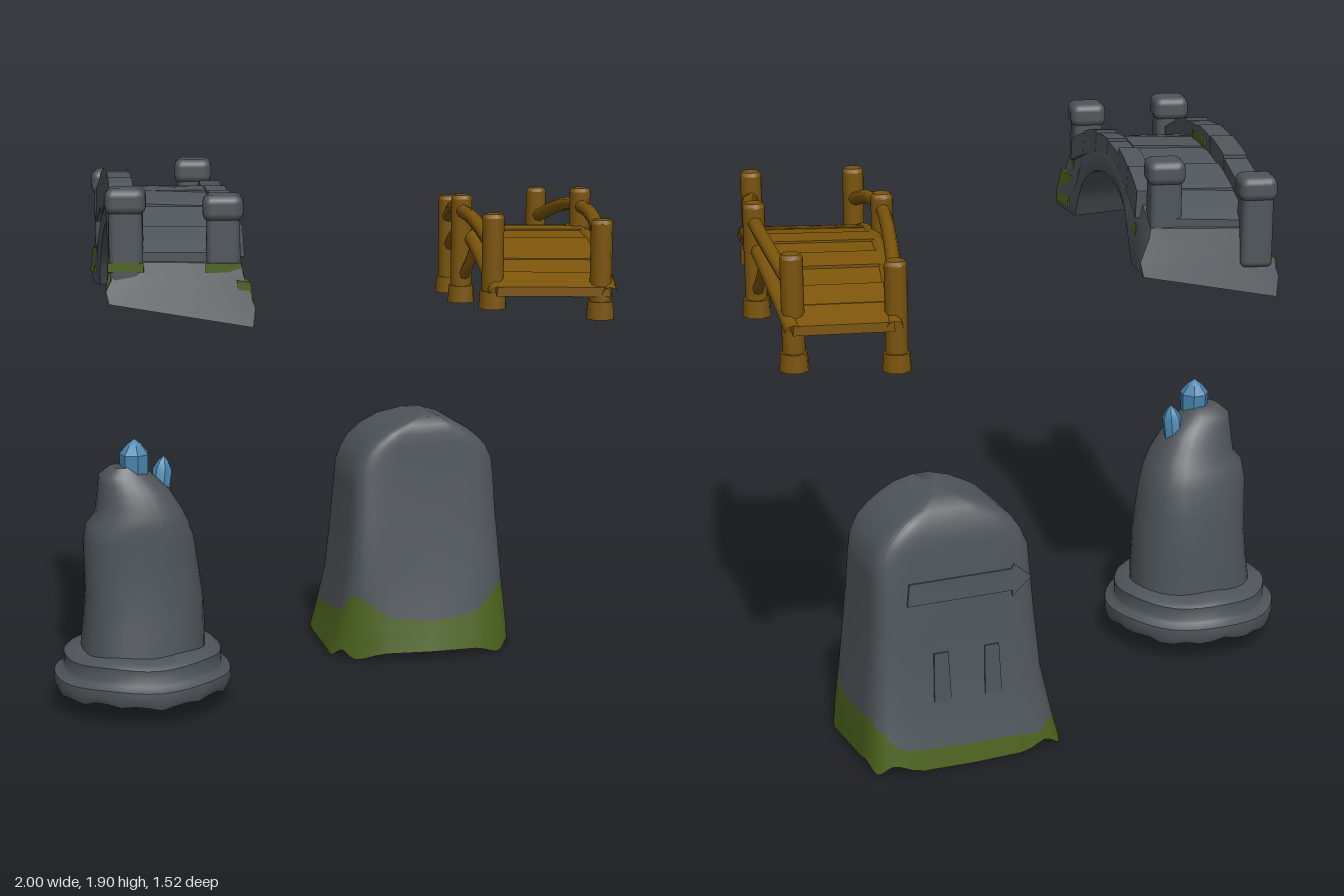
import * as THREE from 'three';
import { toCreasedNormals } from 'three/addons/utils/BufferGeometryUtils.js';
import { RoundedBoxGeometry } from 'three/addons/geometries/RoundedBoxGeometry.js';

const mat = (name, color) => { const m = new THREE.MeshStandardMaterial({ color }); m.name = name; return m; };
const V = (x, y, z) => new THREE.Vector3(x, y, z);
const lerp = THREE.MathUtils.lerp;

export function createModel() {
  const stone = mat('stone', 0x4e5459), moss = mat('moss', 0x4a611c);
  const wood = mat('wood', 0x7b5409), crystal = mat('crystal', 0x4a86b0);
  const root = new THREE.Group();
  const group = (name) => { const g = new THREE.Group(); g.name = name; root.add(g); return g; };
  const add = (parent, name, geo, material, x = 0, y = 0, z = 0) => {
    const m = new THREE.Mesh(geo, material);
    m.name = name;
    m.position.set(x, y, z);
    parent.add(m);
    return m;
  };

  // Skin a list of closed rings, with optional end caps
  function loft(rings, capStart = true, capEnd = true, crease = 0.7) {
    const n = rings[0].length, pts = rings.flat(), idx = [];
    for (let i = 0; i < rings.length - 1; i++) for (let j = 0; j < n; j++) {
      const a = i * n + j, b = i * n + (j + 1) % n;
      idx.push(a, b, b + n, a, b + n, a + n);
    }
    const cap = (row, flip) => {
      const c = pts.length;
      pts.push(rings[row].reduce((s, p) => s.add(p), V(0, 0, 0)).divideScalar(n));
      for (let j = 0; j < n; j++) {
        const a = row * n + j, b = row * n + (j + 1) % n;
        idx.push(c, flip ? b : a, flip ? a : b);
      }
    };
    if (capStart) cap(0, true);
    if (capEnd) cap(rings.length - 1, false);
    const g = new THREE.BufferGeometry().setFromPoints(pts);
    g.setIndex(idx);
    return toCreasedNormals(g, crease);
  }

  // Bridge plan: s runs back to front, u runs -1 to 1 across; bulges widen the middle of each side
  const makePlan = (lb, rb, lf, rf, bulgeL, bulgeR) => (s, u, y) => {
    const w = 0.5 + u * 0.5 * (1 + (u < 0 ? bulgeL : bulgeR) * Math.sin(Math.PI * s));
    return V(lerp(lerp(lb[0], rb[0], w), lerp(lf[0], rf[0], w), s), y,
      lerp(lerp(lb[1], rb[1], w), lerp(lf[1], rf[1], w), s));
  };
  // Slab following a plan between two height functions, narrowed at the top by a factor
  function slab(plan, s0, s1, u0, u1, bottom, top, n = 3, taper = 0.98) {
    const rings = [];
    for (let i = 0; i <= n; i++) {
      const s = lerp(s0, s1, i / n);
      rings.push([plan(s, u0, bottom(s, u0)), plan(s, u1, bottom(s, u1)),
        plan(s, u1 * taper, top(s, u1)), plan(s, u0 * taper, top(s, u0))]);
    }
    return loft(rings, true, true, 0.5);
  }
  const arc = (s) => Math.sin(Math.PI * THREE.MathUtils.clamp(s, 0, 1));

  // ---- Stone bridge ----
  const sb = group('stoneBridge');
  const sPlan = makePlan([-0.74, -0.57], [-0.30, -0.40], [-0.93, 0.60], [-0.48, 0.76], -0.12, -0.12);
  const foot = (s, u) => 1.47 + 0.03 * s + 0.035 * u * (1 - 2 * s);
  const deck = (s) => 1.665 + 0.17 * arc(s);
  const under = (s, u) => {
    const k = (s - 0.5) / 0.31;
    return foot(s, u) + (Math.abs(k) < 1 ? 0.24 * Math.sqrt(1 - k * k) : 0);
  };
  const archRings = [];
  for (let i = 0; i <= 40; i++) {
    // Ends lean inwards and the sides flare out towards the feet
    const s = i / 40, topU = 0.93 - 0.07 * (1 - arc(s));
    const at = (u, f) => sPlan(0.5 + (s - 0.5) * (1 - 0.07 * f), u, lerp(under(s, Math.sign(u)), deck(s), f));
    archRings.push([at(-0.96, 0), at(0.96, 0), at(1, 0.3), at(topU, 0.8), at(topU - 0.03, 1),
      at(0.03 - topU, 1), at(-topU, 0.8), at(-1, 0.3)]);
  }
  add(sb, 'arch', loft(archRings), stone);
  for (let i = 0; i < 7; i++) {
    const s0 = 0.04 + i * 0.132;
    add(sb, 'pavingSlab', slab(sPlan, s0, s0 + 0.129, -0.62, 0.62, (s) => deck(s) - 0.02,
      (s, u) => deck(s) + 0.008 + 0.005 * Math.sin(i * 2.3 + u)), stone);
  }
  for (const side of [-1, 1]) for (let i = 0; i < 6; i++) {
    // The right curb is worn down in the middle
    const rise = side < 0 ? 0.065 : [0.03, 0.03, 0.012, 0.012, 0.03, 0.03][i];
    const s0 = 0.13 + i * 0.124, h = rise + 0.006 * Math.sin(i * 2.1 + side);
    const [a, b] = side < 0 ? [-0.98, -0.6] : [0.62, 0.96];
    add(sb, 'curbStone', slab(sPlan, s0, s0 + 0.122, a, b, (s) => deck(s) - 0.06, (s) => deck(s) + h), stone);
  }
  add(sb, 'curbMoss', slab(sPlan, 0.42, 0.54, -0.61, -0.57, deck, (s) => deck(s) + 0.036), moss);
  for (const [x, z, top] of [[-0.68, -0.49, 1.85], [-0.41, -0.34, 1.895], [-0.85, 0.545, 1.9], [-0.555, 0.64, 1.88]]) {
    const p = group('bridgePost');
    sb.add(p);
    p.position.set(x, 0, z);
    p.rotation.y = -0.26;
    add(p, 'shaft', new RoundedBoxGeometry(0.108, 0.27, 0.105, 2, 0.02), stone, 0, top - 0.18, 0);
    add(p, 'cap', new RoundedBoxGeometry(0.13, 0.085, 0.125, 2, 0.028), stone, 0, top - 0.043, 0);
    if (z > 0) add(p, 'mossBand', new THREE.BoxGeometry(0.114, 0.03, 0.111), moss, 0, 1.65, 0);
  }
  // Moss on the outer sides of the feet: s range, side, height range above the foot, outer u, taper
  for (const [s0, s1, side, low, high, out, taper] of [[0.02, 0.12, -1, 0.04, 0.13, 1.015, 0.95],
    [0.88, 0.975, -1, 0.03, 0.1, 1.015, 0.95], [0.87, 0.98, 1, 0.02, 0.14, 1.015, 0.93], [0.13, 0.25, 1, 0.11, 0.15, 0.97, 0.97]]) {
    const u = [side * 0.82, side * out].sort((a, b) => a - b);
    add(sb, 'mossPatch', slab(sPlan, s0, s1, u[0], u[1], (s, v) => foot(s, v) + low,
      (s, v) => foot(s, v) + high, 3, taper), moss);
  }

  // ---- Wooden bridge ----
  const wb = group('woodenBridge');
  const wPlan = makePlan([0.645, -0.60], [0.975, -0.52], [0.415, 0.52], [0.79, 0.65], 0.1, 0.22);
  const plankY = (s) => 1.505 + 0.13 * arc(s);
  for (let i = 0; i < 11; i++) {
    const e = 0.004 * Math.sin(i * 2.7), gap = i % 4 === 3 ? 0.004 : 0;
    add(wb, 'plank', slab(wPlan, i / 11 + gap, (i + 1) / 11, -0.96, 0.96,
      (s) => plankY(s) - 0.02 + e, (s) => plankY(s) + 0.012 + e, 2), wood);
  }
  const tube = (pts, r, n = 20) => new THREE.TubeGeometry(new THREE.CatmullRomCurve3(pts), n, r, 8);
  const posts = [
    [[0.63, -0.545, 1.34, 1.705], [0.475, 0.025, 1.395, 1.775], [0.43, 0.46, 1.44, 1.76]],
    [[0.945, -0.45, 1.35, 1.735], [0.925, 0.025, 1.395, 1.785], [0.765, 0.60, 1.41, 1.745]],
  ];
  posts.forEach((row, k) => {
    const u = k ? 0.95 : -0.95, edge = [];
    for (let i = 0; i <= 8; i++) edge.push(wPlan(i / 8, u, plankY(i / 8) - 0.008));
    add(wb, 'sideBeam', tube(edge, 0.027, 24), wood);
    for (const [x, z, y0, y1] of row) {
      add(wb, 'post', new THREE.CylinderGeometry(0.037, 0.037, y1 - y0 - 0.012, 10), wood, x, (y0 + y1) / 2 - 0.006, z);
      add(wb, 'postTop', new THREE.CylinderGeometry(0.03, 0.038, 0.014, 10), wood, x, y1 - 0.007, z);
      // Foot with a dark sole
      add(wb, 'postFoot', new THREE.CylinderGeometry(0.046, 0.05, 0.06, 8), [wood, wood, stone], x, y0 + 0.03, z);
    }
    // Arched handrail, raised between the posts
    const rail = row.map(([x, z], i) => V(x, [1.625, 1.72, 1.645][i], z));
    const between = (a, b) => a.clone().lerp(b, 0.5).add(V(k ? 0.015 : -0.005, 0.024, 0));
    add(wb, 'handrail', tube([rail[0], between(rail[0], rail[1]), rail[1], between(rail[1], rail[2]), rail[2]], 0.024), wood);
    // Braces from the middle post to the side beam
    const [mx, mz] = row[1], mid = k ? 0.47 : 0.54;
    for (const d of [-1, 1]) {
      const a = V(mx, 1.47, mz), b = wPlan(mid + d * 0.13, u, 1.61);
      add(wb, 'brace', tube([a, a.clone().lerp(b, 0.5).add(V(0, -0.008, 0)), b], 0.019, 6), wood);
    }
  });

  // Outline point of an upright block; table rows are [y, x0, x1, zBack, zFront]
  function blockPoint(table, power, t, y, wobble = 0) {
    let i = 0;
    while (i < table.length - 2 && y > table[i + 1][0]) i++;
    const f = THREE.MathUtils.clamp((y - table[i][0]) / (table[i + 1][0] - table[i][0]), 0, 1);
    const [x0, x1, z0, z1] = [1, 2, 3, 4].map((c) => lerp(table[i][c], table[i + 1][c], f));
    const pw = (v) => Math.sign(v) * Math.abs(v) ** power * (1 + wobble * Math.sin(3 * t + y * 7));
    return V((x0 + x1) / 2 + (x1 - x0) / 2 * pw(Math.cos(t)), y, (z0 + z1) / 2 - (z1 - z0) / 2 * pw(Math.sin(t)));
  }
  const ring = (n, fn) => Array.from({ length: n }, (_, j) => fn(j / n * Math.PI * 2));

  // ---- Standing stone ----
  const ss = group('standingStone');
  const slabTable = [[0, 0.11, 0.81, -0.765, -0.19], [0.12, 0.14, 0.80, -0.745, -0.22], [0.25, 0.165, 0.785, -0.715, -0.25],
    [0.5, 0.19, 0.765, -0.695, -0.29], [0.72, 0.205, 0.755, -0.675, -0.315], [0.79, 0.245, 0.72, -0.667, -0.32],
    [0.84, 0.30, 0.66, -0.652, -0.325], [0.875, 0.37, 0.60, -0.635, -0.333], [0.9, 0.45, 0.53, -0.58, -0.36]];
  // Moss height around the stone: +x side, back, -x side, front
  const mossHeights = [0.16, 0.18, 0.14, 0.1, 0.06, 0.07, 0.09, 0.11, 0.16, 0.22, 0.25, 0.21, 0.15, 0.21, 0.27, 0.22];
  const mossTop = (t) => {
    const k = t / (Math.PI * 2) * 16, i = Math.floor(k);
    return lerp(mossHeights[i % 16], mossHeights[(i + 1) % 16], k - i) + 0.008 * Math.sin(9 * t);
  };
  const hem = (t) => 0.015 + 0.015 * Math.sin(7 * t);
  const sp = (t, y) => {
    const p = blockPoint(slabTable, 0.3, t, y);
    // The foot bows forward in the middle of the front
    if (p.z > -0.48) p.z -= 0.09 * ((p.x - 0.52) / 0.35) ** 2 * Math.max(0, 1 - y / 0.4) * (p.z + 0.48) / 0.28;
    return p;
  };
  add(ss, 'mossBase', loft([0, 0.4, 0.75, 1].map((f) => ring(64, (t) => sp(t, lerp(hem(t), mossTop(t), f)))), true, false), moss);
  add(ss, 'slabBody', loft([0, 0.2, 0.45, 0.65, 0.75, 0.82, 0.87, 0.92, 0.965, 1].map(
    (f) => ring(64, (t) => sp(t, lerp(mossTop(t), 0.9, f)))), false, true, 0.9), stone);
  // Carvings on the back face
  const carve = (pts, y, z, tilt) => {
    const shape = new THREE.Shape(pts.map((p) => new THREE.Vector2(...p)));
    const m = add(ss, 'carving', new THREE.ExtrudeGeometry(shape, { depth: 0.008, bevelEnabled: false }), stone, 0, y, z);
    m.rotation.x = tilt;
  };
  carve([[0.22, 0.01], [0.29, -0.05], [0.29, -0.03], [0.66, -0.03], [0.65, 0.045], [0.29, 0.045], [0.28, 0.06]], 0.6, -0.692, 0.09);
  for (const x of [0.37, 0.55]) carve([[x - 0.03, -0.085], [x + 0.03, -0.085], [x + 0.025, 0.085], [x - 0.025, 0.085]], 0.31, -0.717, 0.08);

  // ---- Broken pillar with crystals ----
  const bp = group('brokenPillar');
  const pillarTable = [[0.19, -0.91, -0.47, -0.23, 0.155], [0.4, -0.89, -0.475, -0.215, 0.13], [0.6, -0.89, -0.50, -0.19, 0.12],
    [0.66, -0.88, -0.52, -0.17, 0.12], [0.70, -0.848, -0.54, -0.15, 0.115], [0.78, -0.84, -0.59, -0.12, 0.09],
    [0.84, -0.835, -0.655, -0.09, 0.06], [0.87, -0.80, -0.69, -0.05, 0.04]];
  add(bp, 'shaft', loft([0.19, 0.3, 0.4, 0.5, 0.6, 0.66, 0.7, 0.74, 0.78, 0.81, 0.84, 0.87].map(
    (y) => ring(28, (t) => blockPoint(pillarTable, 0.85, t, y, 0.02))), true, true, 0.8), stone);
  // Stepped plinth, hollow underneath
  const plinth = [[0.15, 0.21], [0.13, 0.235], [0.07, 0.26], [0.07, 0.305], [0.095, 0.315], [0.125, 0.312],
    [0.14, 0.285], [0.15, 0.278], [0.195, 0.278], [0.21, 0.26], [0.215, 0.2]];
  add(bp, 'plinth', loft(plinth.map(([y, r]) => ring(40, (t) => {
    const chip = y < 0.1 ? 0.013 * Math.sin(9 * t) * Math.cos(4 * t) : 0.004 * Math.sin(5 * t);
    return V(-0.688 + r * Math.cos(t), y + chip, -0.04 - r * Math.sin(t));
  }))), stone);
  for (const [x, y, z, r, h, tilt] of [[-0.715, 0.8, 0.005, 0.053, 0.165, 0], [-0.617, 0.74, -0.032, 0.035, 0.152, -0.1]]) {
    const prof = [[0, 0], [r * 0.9, 0], [r, h * 0.68], [r * 0.5, h * 0.88], [0, h]].map((p) => new THREE.Vector2(...p));
    add(bp, 'crystal', toCreasedNormals(new THREE.LatheGeometry(prof, 7), 0.6), crystal, x, y, z).rotation.z = tilt;
  }
  return root;
}
